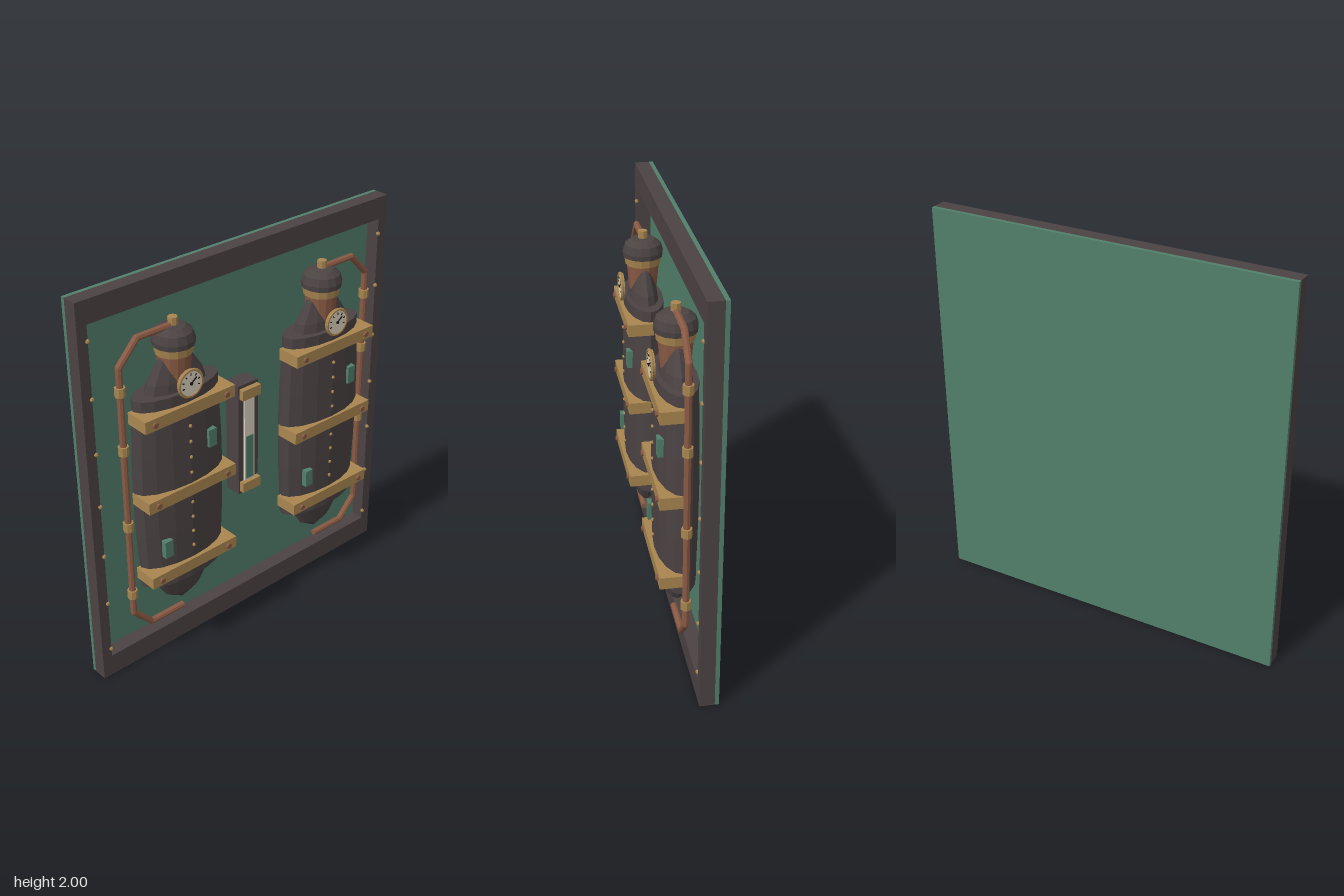
import * as THREE from 'three';

const mat = (name, color, extra = {}) => {
  const m = new THREE.MeshStandardMaterial({ color, ...extra });
  m.name = name;
  return m;
};

export function createModel() {
  const iron = mat('dark iron', 0x4c4343, { flatShading: true });
  const green = mat('green', 0x527f6c);
  const brass = mat('brass', 0xa98650, { flatShading: true });
  const copper = mat('copper', 0x8a5a44, { flatShading: true });
  const cream = mat('cream', 0xdcd3c0);
  const black = mat('black', 0x1c1a1a);

  const root = new THREE.Group();
  root.name = 'boilerPanel';

  const add = (parent, name, geo, material, x = 0, y = 0, z = 0) => {
    const m = new THREE.Mesh(geo, material);
    m.name = name;
    m.position.set(x, y, z);
    parent.add(m);
    return m;
  };
  // box given by its centre x, y and its z range
  const box = (parent, name, material, x, y, w, h, z0, z1) =>
    add(parent, name, new THREE.BoxGeometry(w, h, z1 - z0), material, x, y, (z0 + z1) / 2);
  // disc facing the front
  const disc = (parent, name, material, r, depth, sides, x, y, z) =>
    add(parent, name, new THREE.CylinderGeometry(r, r, depth, sides).rotateX(Math.PI / 2), material, x, y, z);
  // lathe flattened front to back
  const lathe = (parent, name, material, points, squash, sides = 16) =>
    add(parent, name, new THREE.LatheGeometry(points.map(p => new THREE.Vector2(...p)), sides)
      .scale(1, 1, squash), material);

  // Back plate and raised frame
  box(root, 'backPlate', green, 0, 1, 1.834, 2, -0.127, -0.107);
  const outline = new THREE.Shape();
  outline.moveTo(-0.917, 0).lineTo(0.917, 0).lineTo(0.917, 2).lineTo(-0.917, 2).closePath();
  const hole = new THREE.Path();
  hole.moveTo(-0.865, 0.115).lineTo(-0.865, 1.888).lineTo(0.865, 1.888).lineTo(0.865, 0.115).closePath();
  outline.holes.push(hole);
  add(root, 'frame', new THREE.ExtrudeGeometry(outline, { depth: 0.072, bevelEnabled: false }),
    iron, 0, 0, -0.107);
  for (const side of [-1, 1])
    for (let i = 0; i < 7; i++)
      add(root, 'frameRivet', new THREE.SphereGeometry(0.011, 6, 4), brass, side * 0.867, 0.162 + i * 0.275, -0.035);

  // Round pressure dial with ticks and needle
  const dial = (parent) => {
    const g = new THREE.Group();
    g.name = 'pressureDial';
    g.position.set(0, 1.523, 0.105);
    parent.add(g);
    disc(g, 'dialCase', brass, 0.066, 0.014, 20, 0, 0, 0);
    add(g, 'dialRim', new THREE.TorusGeometry(0.064, 0.008, 6, 20), brass, 0, 0, 0.006);
    disc(g, 'dialFace', cream, 0.058, 0.006, 20, 0, 0, 0.007);
    for (let i = 0; i < 7; i++) {
      const a = (-20 + i * 220 / 6) * Math.PI / 180;
      box(g, 'dialTick', black, 0.045 * Math.cos(a), 0.045 * Math.sin(a), 0.011, 0.005, 0.008, 0.012).rotation.z = a;
    }
    box(g, 'needle', black, 0.013, 0.01, 0.045, 0.006, 0.009, 0.013).rotation.z = 0.66;
    disc(g, 'needleHub', black, 0.008, 0.006, 8, 0, 0, 0.012);
  };

  const tank = (side) => {
    const g = new THREE.Group();
    g.name = side > 0 ? 'leftTank' : 'rightTank';
    g.position.x = side * 0.449;
    root.add(g);

    // Barrel, shoulder and pointed bottom
    lathe(g, 'barrel', iron, [[0, 0.465], [0.236, 0.465], [0.236, 0.52], [0.249, 0.76], [0.254, 0.97],
      [0.249, 1.18], [0.236, 1.42], [0.236, 1.475], [0, 1.475]], 0.4);
    lathe(g, 'shoulder', iron, [[0.172, 1.47], [0.155, 1.52], [0.09, 1.615], [0.05, 1.65], [0, 1.65]], 0.42, 12);
    lathe(g, 'bottomCone', iron, [[0, 0.283], [0.1, 0.345], [0.162, 0.445], [0.17, 0.47]], 0.42, 12);

    // Neck, collar, cap and valve nub
    lathe(g, 'neck', copper, [[0, 1.46], [0.063, 1.46], [0.08, 1.645], [0, 1.645]], 1, 14);
    lathe(g, 'collar', brass, [[0, 1.64], [0.086, 1.64], [0.092, 1.685], [0, 1.685]], 1, 14);
    lathe(g, 'cap', iron, [[0, 1.68], [0.097, 1.68], [0.099, 1.705], [0.088, 1.742], [0.058, 1.765], [0, 1.772]], 1, 14);
    add(g, 'valveNub', new THREE.CylinderGeometry(0.023, 0.023, 0.045, 8), brass, 0, 1.783, 0);
    dial(g);

    // Straps with bolts
    for (const y of [0.55, 0.97, 1.392]) {
      box(g, 'strap', brass, 0, y, 0.51, 0.06, -0.012, 0.112);
      for (const x of [-0.203, 0.203]) disc(g, 'strapBolt', copper, 0.014, 0.014, 8, x, y, 0.116);
    }
    // Rivet seam down the front
    for (let i = 0; i < 9; i++)
      if (i !== 4) add(g, 'seamRivet', new THREE.SphereGeometry(0.009, 6, 4), brass, 0, 0.65 + i * 0.0815, 0.101);
    // Green patches
    box(g, 'patch', green, 0.127, 1.19, 0.045, 0.09, 0.075, 0.104);
    box(g, 'patch', green, -0.146, 0.695, 0.045, 0.09, 0.075, 0.104);

    // Bypass pipe with brass couplings
    const path = [[0, 1.768], [0.196, 1.768], [0.297, 1.66], [0.297, 0.342], [0.196, 0.232], [0, 0.232]]
      .map(([x, y]) => new THREE.Vector3(side * x, y, 0));
    for (let i = 0; i < path.length - 1; i++) {
      const [a, b] = [path[i], path[i + 1]];
      const p = add(g, 'pipe', new THREE.CylinderGeometry(0.016, 0.016, a.distanceTo(b), 8), copper);
      p.position.lerpVectors(a, b, 0.5);
      p.quaternion.setFromUnitVectors(new THREE.Vector3(0, 1, 0), b.clone().sub(a).normalize());
      if (i > 0) add(g, 'pipeElbow', new THREE.SphereGeometry(0.016, 8, 6), copper, a.x, a.y, 0);
    }
    for (const y of [0.455, 0.843, 1.25, 1.545])
      add(g, 'coupling', new THREE.CylinderGeometry(0.025, 0.025, 0.044, 8), brass, side * 0.297, y, 0);
  };
  tank(-1);
  tank(1);

  // Central level gauge
  const level = new THREE.Group();
  level.name = 'levelGauge';
  root.add(level);
  box(level, 'gaugeBack', iron, 0, 1.003, 0.125, 0.605, -0.107, -0.018);
  for (const y of [0.745, 1.263]) box(level, 'gaugeClamp', brass, 0, y, 0.112, 0.053, -0.02, 0.01);
  box(level, 'gaugeGlass', cream, 0, 1.005, 0.062, 0.466, -0.02, -0.008);
  box(level, 'gaugeLiquid', green, 0, 0.902, 0.046, 0.24, -0.009, -0.004);

  return root;
}
